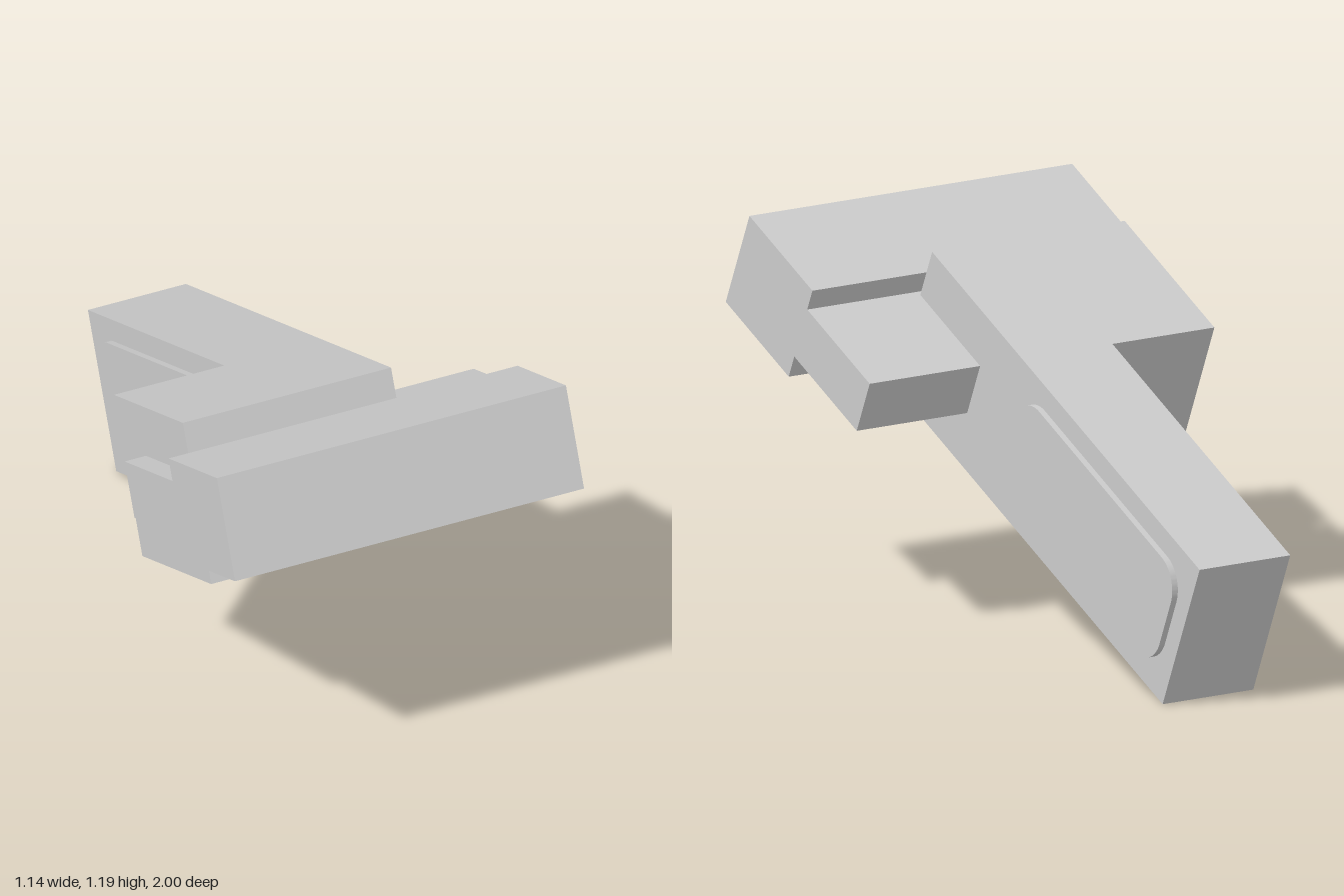
import * as THREE from 'three';
import { toCreasedNormals } from 'three/addons/utils/BufferGeometryUtils.js';

const material = new THREE.MeshStandardMaterial({ color: 0xcccccc });

// Local frame: x across, y through the thickness, z along the length.
function addPart(group, name, geometry) {
  const mesh = new THREE.Mesh(geometry, material);
  mesh.name = name;
  group.add(mesh);
}

function box(x0, x1, y0, y1, z0, z1) {
  return new THREE.BoxGeometry(x1 - x0, y1 - y0, z1 - z0)
    .translate((x0 + x1) / 2, (y0 + y1) / 2, (z0 + z1) / 2);
}

function roundedRect(x0, x1, y0, y1, r) {
  const s = new THREE.Shape();
  s.absarc(x1 - r, y0 + r, r, -Math.PI / 2, 0);
  s.absarc(x1 - r, y1 - r, r, 0, Math.PI / 2);
  s.absarc(x0 + r, y1 - r, r, Math.PI / 2, Math.PI);
  s.absarc(x0 + r, y0 + r, r, Math.PI, Math.PI * 1.5);
  s.closePath();
  return s;
}

export function createModel() {
  const model = new THREE.Group();
  model.name = 'model';

  const tilted = new THREE.Group();
  tilted.name = 'tiltedAssembly';
  tilted.rotation.x = -THREE.MathUtils.degToRad(24);
  tilted.position.z = -0.795;
  model.add(tilted);

  // L-shaped body: narrow handle widening to one side at the front
  const outline = new THREE.Shape([
    [-0.14, 0], [0.18, 0], [0.18, 1.61], [-0.5, 1.61], [-0.5, 1.07], [-0.14, 1.07],
  ].map(([x, z]) => new THREE.Vector2(x, z)));
  const body = new THREE.ExtrudeGeometry(outline, { depth: 0.5, bevelEnabled: false });
  addPart(tilted, 'handleBody', body.rotateX(Math.PI / 2).translate(0, 0.5, 0));

  // Rounded pad standing slightly proud of both handle sides
  const pad = new THREE.ExtrudeGeometry(roundedRect(0.065, 1.0, 0.08, 0.43, 0.1), {
    depth: 0.36, bevelEnabled: false, curveSegments: 12,
  });
  pad.rotateY(-Math.PI / 2).translate(0.2, 0, 0);
  addPart(tilted, 'gripPads', toCreasedNormals(pad, 0.6));

  // Wide head and the thinner tongue that runs back through the body
  addPart(tilted, 'head', box(-0.57, 0.57, 0.09, 0.41, 1.626, 2.005));
  addPart(tilted, 'tongue', box(-0.57, 0.57, 0.165, 0.34, 1.25, 1.626));

  return model;
}
